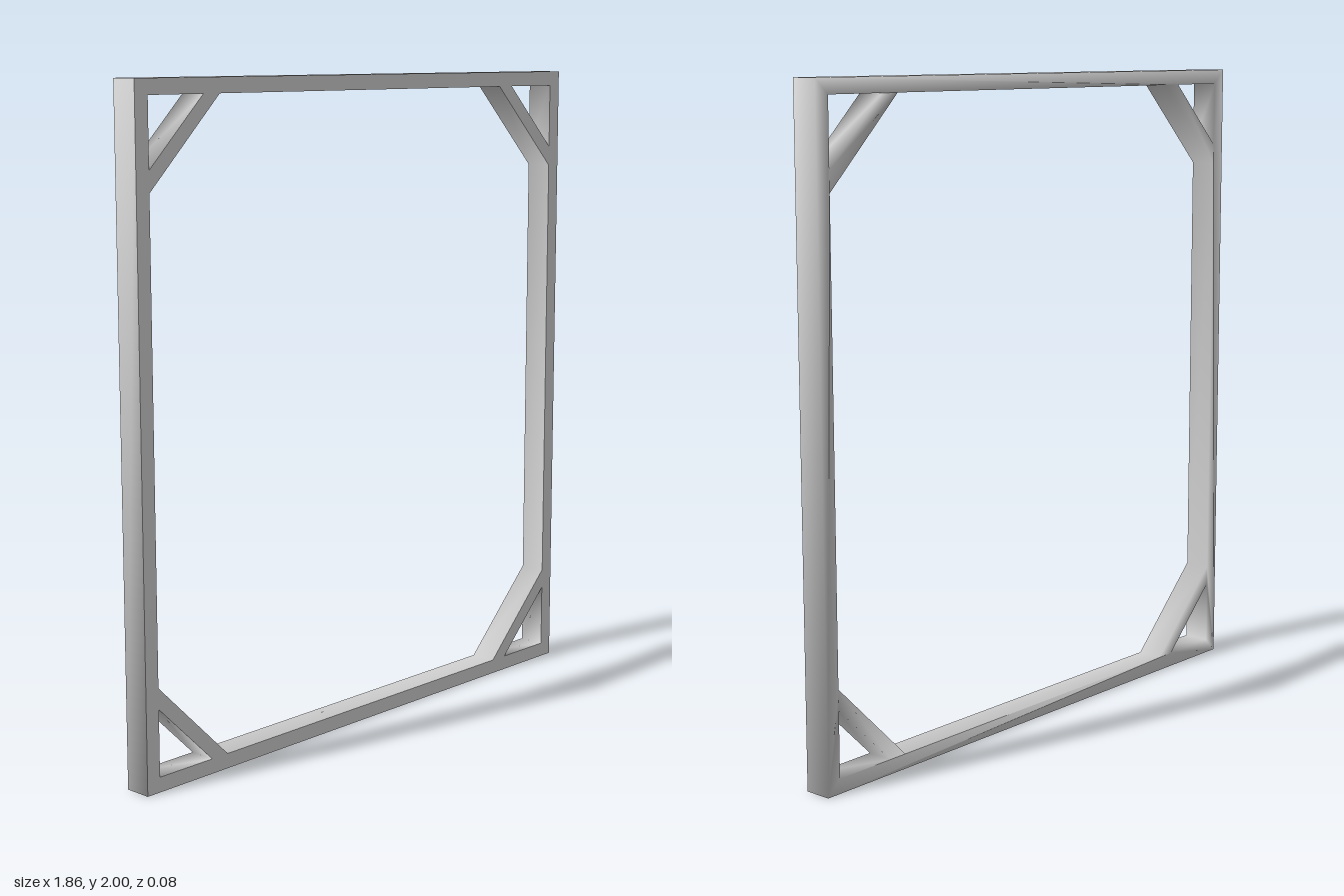
import * as THREE from 'three';
import { mergeVertices } from 'three/addons/utils/BufferGeometryUtils.js';

const W = 0.93, H = 1;             // outer half width and half height
const IX = 0.883, IY = 0.955;      // inner edge of the bars
const BX = 0.618, BY = 0.693;      // inner edge of the corner braces
const TX = 0.68, TY = 0.755;       // outer edge of the corner braces
const DEPTH = 0.084;

const points = (list) => list.map(([x, y]) => new THREE.Vector2(x, y));

// Geometry from the triangles that pass a test on their corners
function pick(geometry, test) {
  const p = geometry.attributes.position, out = [];
  for (let i = 0; i < p.count; i += 3) {
    const tri = [i, i + 1, i + 2];
    if (test(tri.map((k) => p.getZ(k)))) tri.forEach((k) => out.push(p.getX(k), p.getY(k), p.getZ(k)));
  }
  const g = new THREE.BufferGeometry();
  g.setAttribute('position', new THREE.Float32BufferAttribute(out, 3));
  return g;
}

export function createModel() {
  const group = new THREE.Group();
  group.name = 'bracedFrame';
  const material = new THREE.MeshStandardMaterial({ color: 0xcccccc });

  // Outline with an eight-sided opening and a triangular gap behind each brace
  const shape = new THREE.Shape(points([[-W, -H], [W, -H], [W, H], [-W, H]]));
  shape.holes.push(new THREE.Path(points([
    [BX, IY], [IX, BY], [IX, -BY], [BX, -IY],
    [-BX, -IY], [-IX, -BY], [-IX, BY], [-BX, IY],
  ])));
  for (const sx of [-1, 1]) for (const sy of [-1, 1]) {
    shape.holes.push(new THREE.Path(points([
      [sx * IX, sy * IY], [sx * TX, sy * IY], [sx * IX, sy * TY],
    ])));
  }
  let solid = new THREE.ExtrudeGeometry(shape, { depth: DEPTH, bevelEnabled: false });
  solid.translate(0, H, -DEPTH / 2);
  if (solid.index) solid = solid.toNonIndexed();

  // Flat front face; sides and back share smooth normals
  const isFront = (zs) => zs.every((z) => z > 0);
  const front = pick(solid, isFront);
  front.computeVertexNormals();
  const body = mergeVertices(pick(solid, (zs) => !isFront(zs)));
  body.computeVertexNormals();

  const frontMesh = new THREE.Mesh(front, material);
  frontMesh.name = 'frameFront';
  const bodyMesh = new THREE.Mesh(body, material);
  bodyMesh.name = 'frameSidesAndBack';
  group.add(frontMesh, bodyMesh);
  return group;
}
